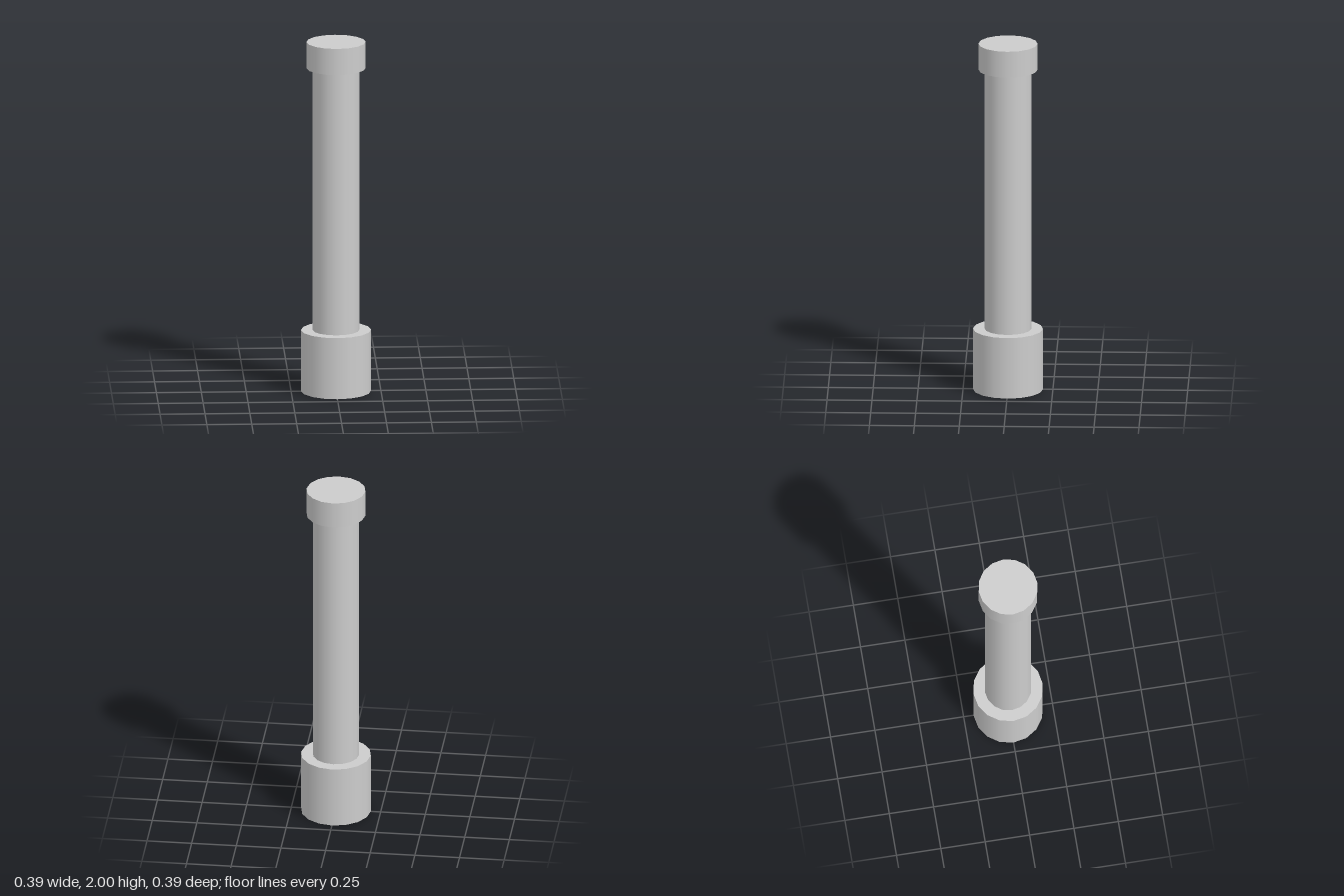
import * as THREE from 'three';

const SIDES = 16;

export function createModel() {
  const model = new THREE.Group();
  model.name = 'pillar';

  const grey = new THREE.MeshStandardMaterial({ color: 0xcccccc });
  grey.name = 'light grey';

  // Upright round section between two heights
  function addSection(name, radius, bottom, top, openEnded = false) {
    const height = top - bottom;
    const mesh = new THREE.Mesh(
      new THREE.CylinderGeometry(radius, radius, height, SIDES, 1, openEnded),
      grey
    );
    mesh.name = name;
    mesh.position.y = bottom + height / 2;
    model.add(mesh);
  }

  addSection('base', 0.195, 0, 0.35);
  // The shaft's ends are closed by the base and the cap
  addSection('shaft', 0.13, 0.35, 1.85, true);
  addSection('cap', 0.165, 1.85, 2);

  return model;
}
